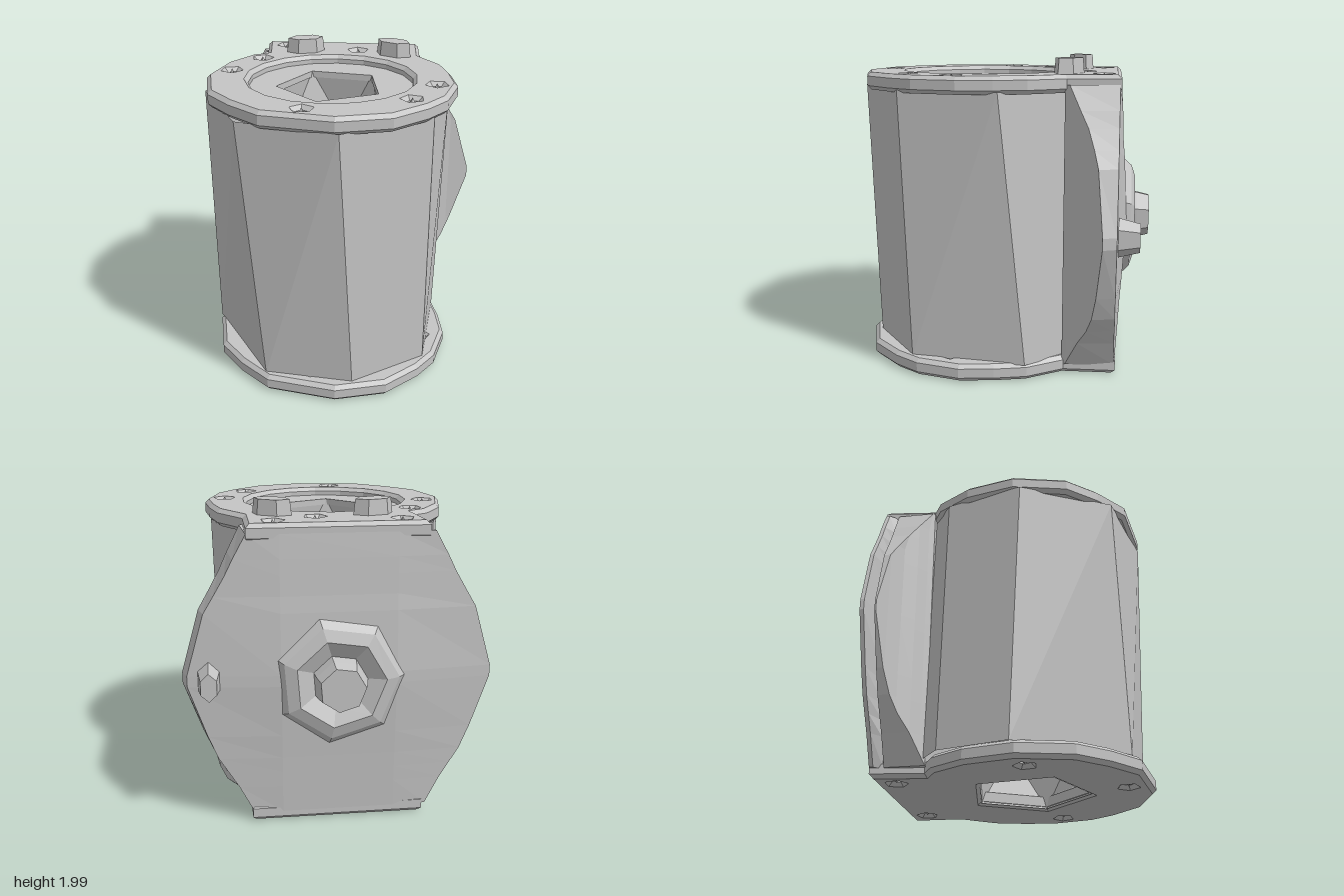
import * as THREE from 'three';

const gray = new THREE.MeshStandardMaterial({ color: 0xc4c4c4, flatShading: true, side: THREE.DoubleSide });
gray.name = 'gray metal';
const CX = -0.01, CZ = 0.15;

// Shape helpers work on the ground plane: [x, z] becomes (x, -z)
const flat = (pts) => pts.map(([x, z]) => new THREE.Vector2(x, -z));
const ngon = (x, z, r, n, turn = 0) => Array.from({ length: n }, (_, i) => {
  const a = turn + (i / n) * Math.PI * 2;
  return [x + Math.sin(a) * r, z + Math.cos(a) * r];
});

// Horizontal slab with holes, from y0 to y1
function slab(outline, holes, y0, y1, bevel) {
  const shape = new THREE.Shape(flat(outline));
  shape.holes = holes.map((h) => new THREE.Path(flat(h)));
  const geo = new THREE.ExtrudeGeometry(shape, {
    depth: y1 - y0 - bevel * 2, bevelEnabled: bevel > 0, bevelSegments: 1,
    bevelThickness: bevel, bevelSize: bevel, bevelOffset: -bevel,
  });
  return geo.rotateX(-Math.PI / 2).translate(0, y0 + bevel, 0);
}

// Closed solid through cross-sections of equal length, bottom to top
function loft(rings) {
  const n = rings[0].length, idx = [];
  for (let r = 0; r < rings.length - 1; r++) {
    for (let i = 0; i < n; i++) {
      const a = r * n + i, b = r * n + (i + 1) % n;
      idx.push(a, b, a + n, b, b + n, a + n);
    }
  }
  [0, rings.length - 1].forEach((r) => {
    const contour = flat(rings[r].map((p) => [p[0], p[2]]));
    for (const [a, b, c] of THREE.ShapeUtils.triangulateShape(contour, [])) {
      const o = r * n;
      if (r) idx.push(o + a, o + b, o + c);
      else idx.push(o + a, o + c, o + b);
    }
  });
  const geo = new THREE.BufferGeometry();
  geo.setAttribute('position', new THREE.Float32BufferAttribute(rings.flat(2), 3));
  geo.setIndex(idx);
  geo.computeVertexNormals();
  return geo;
}

// Open faceted tube whose rim corners sit at the given angles (degrees)
function facetedTube(top, bottom, rTop, rBottom, y0, y1, shiftZ = 0) {
  const n = top.length;
  const geo = new THREE.CylinderGeometry(1, 1, 1, n, 1, true);
  const p = geo.attributes.position;
  for (let i = 0; i < p.count; i++) {
    const up = i <= n, k = (up ? i : i - n - 1) % n;
    const a = THREE.MathUtils.degToRad(up ? top[k] : bottom[k]), r = up ? rTop : rBottom;
    p.setXYZ(i, Math.sin(a) * r, up ? y1 : y0, Math.cos(a) * r + (up ? 0 : shiftZ));
  }
  geo.computeVertexNormals();
  return geo;
}

// Front face of the back flange: depth by distance from the middle
const CURVE = [[0.54, -0.41], [0.57, -0.44], [0.63, -0.49], [0.7, -0.56], [0.8, -0.615], [0.95, -0.66]];
function curveZ(x) {
  const i = Math.max(1, CURVE.findIndex(([cx]) => cx >= x));
  const [x0, z0] = CURVE[i - 1], [x1, z1] = CURVE[i];
  return z0 + (z1 - z0) * (x - x0) / (x1 - x0);
}

export function createModel() {
  const model = new THREE.Group();
  const add = (name, geo, x = 0, y = 0, z = 0) => {
    const mesh = new THREE.Mesh(geo, gray);
    mesh.name = name;
    mesh.position.set(x, y, z);
    model.add(mesh);
  };

  // Faceted drum with slightly twisted sides
  add('drum', facetedTube(
    [-87, -39, 9, 56, 104, 150, 195, 235],
    [-88, -27, 15, 56, 112, 152, 200, 238],
    0.785, 0.785, 0.11, 1.81, -0.06), -0.02, 0, 0.165);

  // End caps: round in front with a neck reaching back
  const outline = [
    [-0.54, -0.75], [-0.5, -0.42], [-0.6, -0.36], [-0.73, -0.15], [-0.8, 0.16], [-0.72, 0.5],
    [-0.56, 0.69], [-0.36, 0.86], [0.08, 0.94], [0.4, 0.85], [0.6, 0.66], [0.71, 0.5],
    [0.78, 0.22], [0.75, 0], [0.7, -0.2], [0.55, -0.42], [0.54, -0.75],
  ];
  const inner = outline.map(([x, z]) => [x * 0.95, (z - CZ) * 0.95 + CZ]);
  const bolts = [[-0.39, -0.64], [0.38, -0.64], [0.12, -0.53], [-0.51, -0.27], [-0.66, 0.04],
    [0.65, 0.26], [0.5, 0.56], [-0.12, 0.79]];
  const bottomBolts = [[-0.39, -0.62], [0.39, -0.62], [-0.63, 0.2], [0.61, 0.3], [-0.1, 0.77]];
  const pits = (list) => list.map(([x, z], i) => ngon(x, z, 0.045, 5, i));
  const topWell = ngon(CX, CZ, 0.345, 5, -0.17);
  const bottomWell = ngon(CX, CZ, 0.39, 5, 3.93);

  add('topCap', slab(outline, [ngon(CX, CZ, 0.52, 18), ...pits(bolts)], 1.795, 1.905, 0.025));
  add('topRecessFloor', slab(inner, [topWell], 1.81, 1.85, 0));
  add('bottomCap', slab(outline, [bottomWell, ...pits(bottomBolts)], 0.01, 0.12, 0.025));
  add('bottomInnerPlate', slab(inner, [bottomWell], 0.06, 0.1, 0));

  // Five-sided wells with twisted walls, sunk into both ends
  const corners = (turn) => Array.from({ length: 5 }, (_, i) => THREE.MathUtils.radToDeg(turn) + i * 72);
  const twisted = (turn) => corners(turn).map((a) => a + 36);
  add('topWellWall', facetedTube(corners(-0.17), twisted(-0.17), 0.345, 0.345, 1.45, 1.85), CX, 0, CZ);
  add('topWellFloor', slab(ngon(CX, CZ, 0.345, 5, -0.17 + Math.PI / 5), [], 1.44, 1.45, 0));
  add('bottomWellWall', facetedTube(twisted(3.93 - Math.PI * 0.4), corners(3.93), 0.39, 0.39, 0.02, 0.42), CX, 0, CZ);
  add('bottomWellFloor', slab(ngon(CX, CZ, 0.39, 5, 3.93 + Math.PI / 5), [], 0.42, 0.43, 0));

  // Small pointed bolts sitting in the pits
  bolts.forEach(([x, z], i) => add('topBolt', new THREE.ConeGeometry(0.035, 0.065, 4, 1, false, i), x, 1.88, z));
  bottomBolts.forEach(([x, z], i) => {
    add('bottomBolt', new THREE.ConeGeometry(0.035, 0.05, 4, 1, false, i).rotateX(Math.PI), x, 0.04, z);
  });

  // Two long stubs on the top cap
  [[-0.24, -0.475, 0.3], [0.37, -0.425, -0.5]].forEach(([x, z, turn]) => {
    const geo = new THREE.CylinderGeometry(0.12, 0.135, 0.12, 6, 1, false, Math.PI / 6);
    geo.scale(1, 1, 0.6).rotateY(turn);
    add('topStub', geo, x, 1.94, z);
  });

  // Back housing with flared flanges: [height, half width, bulge of back]
  const levels = [
    [0.07, 0.56, 0], [0.25, 0.65, 0.01], [0.35, 0.71, 0.015], [0.45, 0.77, 0.02],
    [0.6, 0.83, 0.03], [0.93, 0.94, 0.05], [1, 0.94, 0.05], [1.38, 0.83, 0.03],
    [1.48, 0.77, 0.02], [1.6, 0.7, 0.015], [1.7, 0.65, 0.01], [1.845, 0.57, 0],
  ];
  add('backHousing', loft(levels.map(([y, w, bulge]) => {
    const rim = w - 0.02, groove = Math.min(0.58, w - 0.05);
    const front = (limit) => CURVE.map(([x]) => Math.min(x, limit)).map((x) => [x, curveZ(x)]);
    return [
      ...front(w), [w - 0.03, -0.74],
      [0.35, -0.75 - bulge], [-0.35, -0.75 - bulge],
      [-w, -0.745], [-w, -0.72], [-groove, -0.67], [-groove, -0.65], [-rim, -0.66],
      ...front(rim).reverse().map(([x, z]) => [-x, z]),
    ].map(([x, z]) => [x, y, z]);
  })));

  // Raised ring and hub on the back
  const profile = [[0.42, 0], [0.36, 0.06], [0.28, 0.085], [0.17, 0.03], [0.16, 0.1], [0.14, 0.18], [0, 0.18]];
  const hub = new THREE.LatheGeometry(profile.map(([r, h]) => new THREE.Vector2(r, h)), 7, 0.3);
  add('backHub', hub.rotateX(-Math.PI / 2), 0, 0.95, -0.77);

  // Knob near the side edge of the back
  const knob = new THREE.CylinderGeometry(0.055, 0.08, 0.16, 6).rotateX(-Math.PI / 2);
  add('sideKnob', knob.scale(1, 1.6, 1), 0.78, 0.97, -0.795);

  return model;
}
